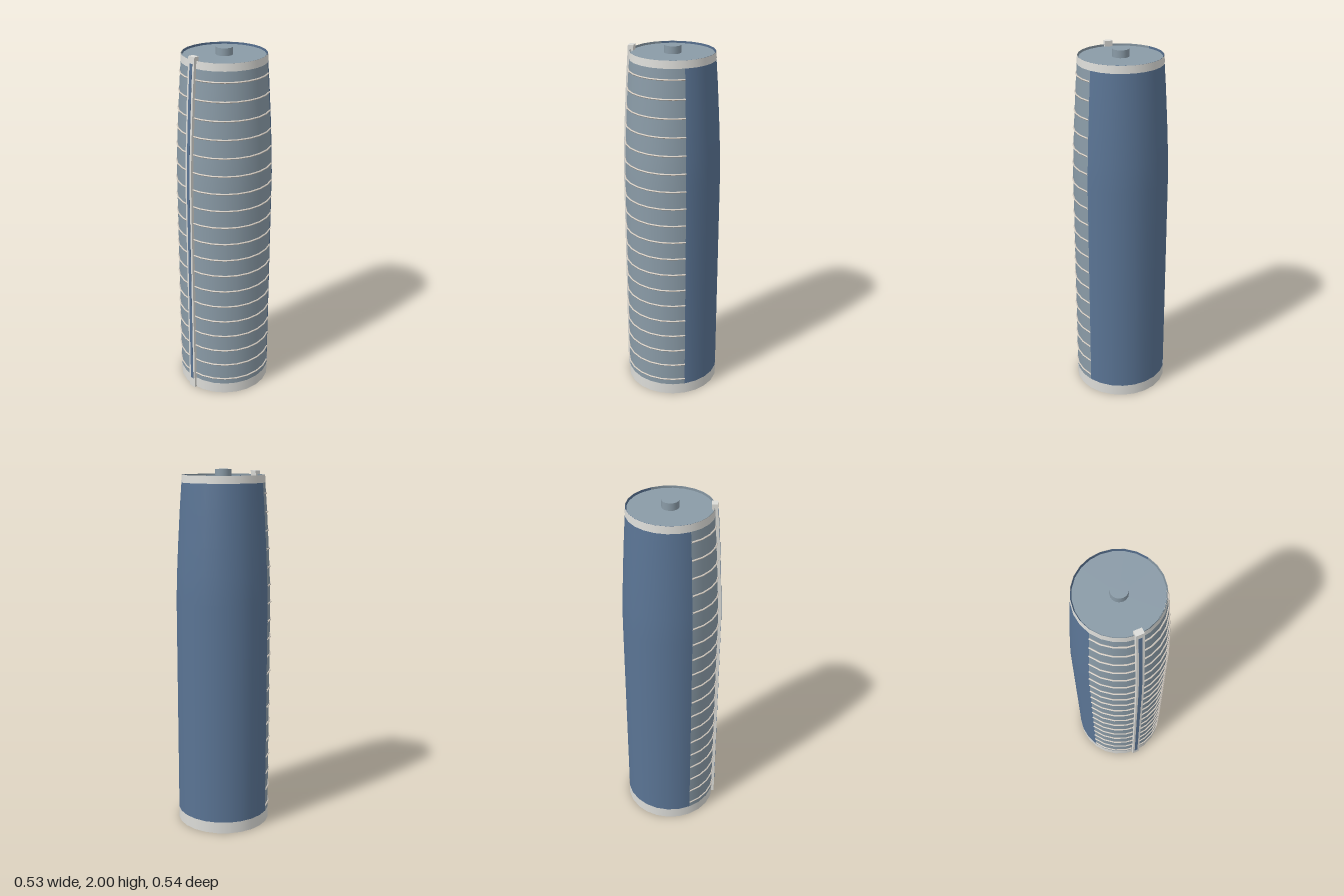
import * as THREE from 'three';

const mat = (name, color, side = THREE.DoubleSide) => {
  const m = new THREE.MeshStandardMaterial({ color, side });
  m.name = name;
  return m;
};

// Tower outline: [height, radius]
const PROFILE = [[0, 0.261], [1.3, 0.261], [1.45, 0.256], [1.6, 0.2485], [1.8, 0.2365], [1.97, 0.2235], [1.99, 0.222]];
const START = -Math.PI / 3; // glass half runs from here through the front

function radiusAt(y) {
  for (let i = 1; i < PROFILE.length; i++) {
    const [y0, r0] = PROFILE[i - 1], [y1, r1] = PROFILE[i];
    if (y <= y1) return r0 + (r1 - r0) * (y - y0) / (y1 - y0);
  }
  return PROFILE[PROFILE.length - 1][1];
}

// Heights between two levels, including the outline's own bends
const levels = (lo, hi) => [lo, ...PROFILE.map(p => p[0]).filter(y => y > lo && y < hi), hi];

// Open shell that follows the outline
function shell(lo, hi, offset, segments, start, length) {
  const pts = levels(lo, hi).map(y => new THREE.Vector2(radiusAt(y) + offset, y));
  return new THREE.LatheGeometry(pts, segments, start, length);
}

// Upright strip on the front that follows the outline
function strip(lo, hi, inner, outer, width) {
  const ys = levels(lo, hi);
  const pts = [
    ...ys.map(y => new THREE.Vector2(radiusAt(y) + outer, y)),
    ...ys.slice().reverse().map(y => new THREE.Vector2(radiusAt(y) + inner, y)),
  ];
  const geo = new THREE.ExtrudeGeometry(new THREE.Shape(pts), { depth: width, bevelEnabled: false });
  geo.rotateY(-Math.PI / 2);
  geo.translate(width / 2, 0, 0);
  return geo;
}

export function createModel() {
  const glass = mat('pale glass', 0x8a9ba7);
  const blue = mat('blue glass', 0x5a7494);
  const white = mat('off white', 0xdcdcd8);
  const ribMat = mat('warm grey', 0xd2cac0);

  const model = new THREE.Group();
  model.name = 'tower';
  const add = (name, geo, material, parent = model) => {
    const mesh = new THREE.Mesh(geo, material);
    mesh.name = name;
    parent.add(mesh);
    return mesh;
  };

  // Two half shells
  add('paleFacade', shell(0, 1.97, 0, 12, START, Math.PI), glass);
  add('blueFacade', shell(0, 1.97, 0, 12, START + Math.PI, Math.PI), blue);

  // Base and top bands
  add('baseBand', shell(0, 0.065, 0.0015, 24, START, Math.PI * 2), white);
  add('topBand', shell(1.93, 1.97, 0.0015, 24, START, Math.PI * 2), white);

  // Roof disc, set just inside the wall, and its cap
  add('roof', new THREE.CylinderGeometry(0.218, 0.218, 0.008, 24), glass).position.y = 1.956;
  add('roofCap', new THREE.CylinderGeometry(0.045, 0.045, 0.045, 16), glass).position.y = 1.9775;

  // Floor ribs around the pale half
  const ribs = new THREE.Group();
  ribs.name = 'floorRibs';
  model.add(ribs);
  for (let i = 0; i < 19; i++) {
    const y = 0.1 + i * 0.0986, r = radiusAt(y) + 0.0025;
    const section = [];
    for (let k = 0; k <= 6; k++) {
      const a = k * Math.PI / 3;
      section.push(new THREE.Vector2(r + 0.0045 * Math.cos(a), y + 0.0045 * Math.sin(a)));
    }
    add('floorRib', new THREE.LatheGeometry(section, 12, START, Math.PI), ribMat, ribs);
  }

  // Front fin with a blue strip down its face
  add('frontFin', strip(0, 1.99, -0.016, 0.014, 0.043), white);
  add('finStripe', strip(0.06, 1.955, 0.0105, 0.0152, 0.019), blue);

  for (const part of model.children) {
    part.position.x -= 0.004;
    part.position.z -= 0.007;
  }
  return model;
}
